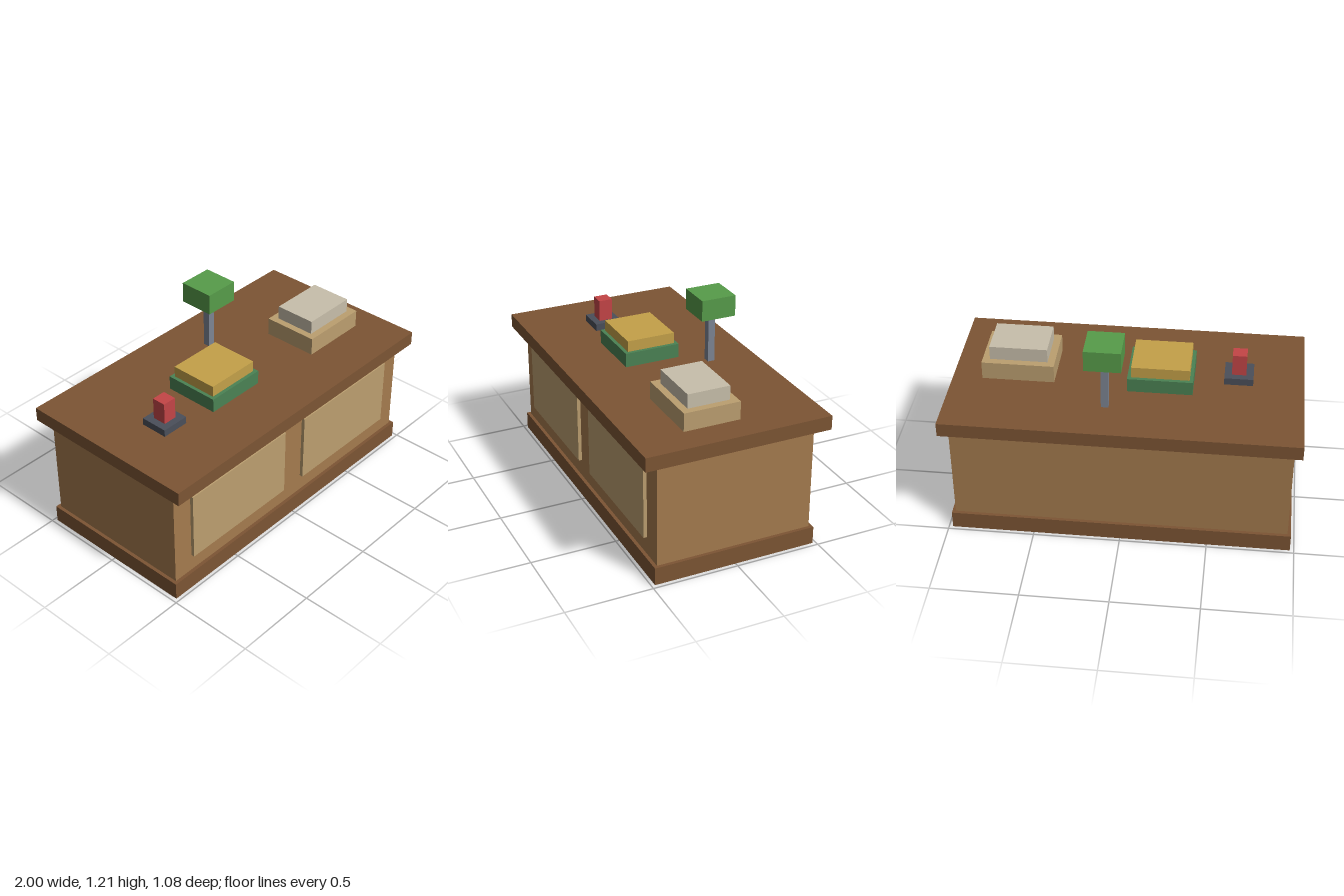
import * as THREE from 'three';

export function createModel() {
  const group = new THREE.Group();
  group.name = 'desk';

  const material = (name, color) => {
    const m = new THREE.MeshStandardMaterial({ color });
    m.name = name;
    return m;
  };
  const darkWood = material('dark wood', 0x7d5534);
  const wood = material('wood', 0xa57b4e);
  const paleWood = material('pale wood', 0xbc9f70);
  const cream = material('cream', 0xc8bfab);
  const bookGreen = material('book green', 0x4b8254);
  const lampGreen = material('lamp green', 0x579c4a);
  const gold = material('gold', 0xc4a149);
  const red = material('red', 0xc44547);
  const slate = material('slate', 0x4b4f5a);
  const steel = material('steel', 0x7d8593);

  // Axis-aligned box given by its extents along each axis
  const block = (name, mat, [x0, x1], [y0, y1], [z0, z1], parent = group) => {
    const mesh = new THREE.Mesh(new THREE.BoxGeometry(x1 - x0, y1 - y0, z1 - z0), mat);
    mesh.position.set((x0 + x1) / 2, (y0 + y1) / 2, (z0 + z1) / 2);
    mesh.name = name;
    parent.add(mesh);
  };
  const part = (name) => {
    const g = new THREE.Group();
    g.name = name;
    group.add(g);
    return g;
  };
  const top = 0.792;

  // Desk carcass; the body reaches the floor just below the plinth
  block('body', wood, [-0.957, 0.957], [0, 0.72], [-0.46, 0.46]);
  block('plinth', darkWood, [-0.977, 0.977], [0.001, 0.105], [-0.48, 0.48]);
  block('desktop', darkWood, [-1, 1], [0.71, top], [-0.542, 0.542]);

  // Raised front panels
  for (const side of [-1, 1]) {
    const x = side * 0.457;
    block(side < 0 ? 'rightPanel' : 'leftPanel', paleWood, [x - 0.375, x + 0.375], [0.21, 0.625], [0.44, 0.48]);
  }

  // Ink stamp
  const stamp = part('stamp');
  block('stampBase', slate, [-0.71, -0.545], [top, 0.834], [0, 0.163], stamp);
  block('stampHandle', red, [-0.668, -0.586], [0.834, 0.962], [0.041, 0.123], stamp);

  // Stacked books
  const books = part('books');
  block('lowerBook', bookGreen, [-0.375, -0.004], [top, 0.875], [-0.125, 0.205], books);
  block('upperBook', gold, [-0.355, -0.025], [0.875, 0.94], [-0.104, 0.184], books);

  // Paper tray with papers
  const tray = part('paperTray');
  block('tray', paleWood, [0.416, 0.83], [top, 0.898], [-0.083, 0.248], tray);
  block('papers', cream, [0.457, 0.788], [0.898, 0.98], [-0.041, 0.207], tray);

  // Desk lamp
  const lamp = part('lamp');
  block('lampPost', steel, [0.081, 0.123], [top, 1.09], [-0.291, -0.25], lamp);
  block('lampShade', lampGreen, [0, 0.205], [1.087, 1.21], [-0.374, -0.167], lamp);

  return group;
}
